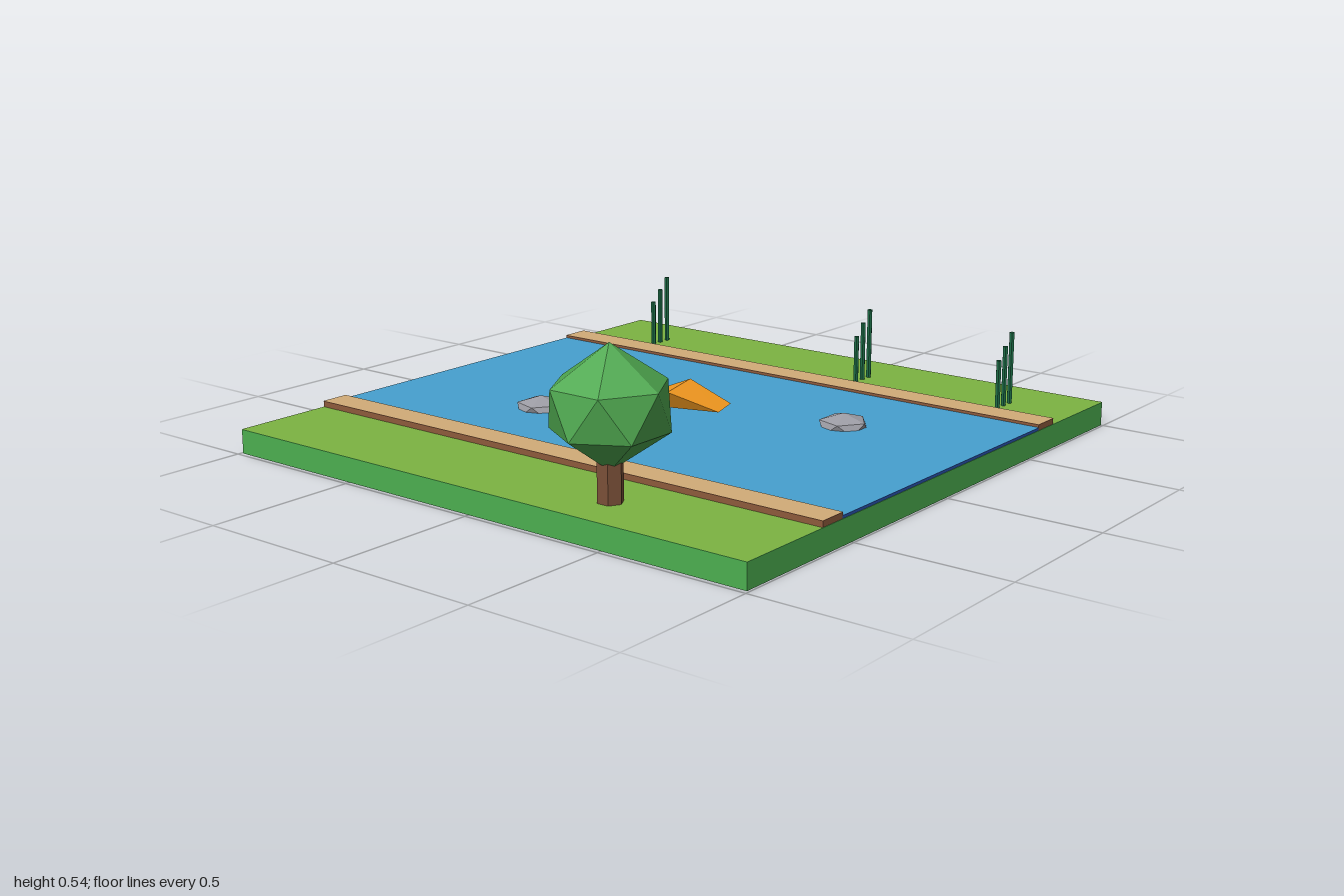
import * as THREE from 'three';
import { ConvexGeometry } from 'three/addons/geometries/ConvexGeometry.js';

const material = (color) => new THREE.MeshStandardMaterial({ color, flatShading: true });
const COLORS = {
  soil: material(0x4caf50), grass: material(0x7cb342),
  bank: material(0x8d5a3c), sand: material(0xd2ac78),
  waterSide: material(0x2a55b0), water: material(0x46a0d0),
  trunk: material(0x7a5038), leaf: material(0x4fa850),
  rock: material(0x9c9ca4), tent: material(0xf59a20), reed: material(0x1c6b45),
};

// Two staggered rings of points between a top and a bottom tip.
function facetedBall(sides, radius, ringY, tipY, turn) {
  const points = [new THREE.Vector3(0, tipY, 0), new THREE.Vector3(0, -tipY, 0)];
  for (let i = 0; i < sides; i++) {
    for (const level of [1, -1]) {
      const a = turn + ((i + (level > 0 ? 0 : 0.5)) / sides) * Math.PI * 2;
      points.push(new THREE.Vector3(Math.cos(a) * radius, level * ringY, Math.sin(a) * radius));
    }
  }
  return new ConvexGeometry(points);
}

export function createModel() {
  const model = new THREE.Group();
  const depth = 1.985;
  const midX = 0.0075;

  function add(name, geometry, mat, x, y, z, parent = model) {
    const mesh = new THREE.Mesh(geometry, mat);
    mesh.name = name;
    mesh.position.set(x, y, z);
    parent.add(mesh);
    return mesh;
  }

  // A full-depth slab with a differently coloured upper surface.
  function slab(name, x, width, y0, y1, sideMat, topMat) {
    const group = new THREE.Group();
    group.name = name;
    const body = y1 - y0 - 0.001;
    add(name + 'Body', new THREE.BoxGeometry(width, body, depth), sideMat, x, y0 + body / 2, 0, group);
    const top = new THREE.PlaneGeometry(width, depth).rotateX(-Math.PI / 2);
    add(name + 'Surface', top, topMat, x, y1, 0, group);
    model.add(group);
  }

  // Ground, river and its two raised banks
  slab('ground', midX, 1.985, 0, 0.08, COLORS.soil, COLORS.grass);
  slab('river', midX, 1.11, 0.08, 0.09, COLORS.waterSide, COLORS.water);
  slab('leftBank', midX + 0.602, 0.096, 0.08, 0.1, COLORS.bank, COLORS.sand);
  slab('rightBank', midX - 0.602, 0.096, 0.08, 0.1, COLORS.bank, COLORS.sand);

  // Tree
  const tree = new THREE.Group();
  tree.name = 'tree';
  tree.position.set(-0.826, 0, 0.4);
  model.add(tree);
  add('trunk', new THREE.CylinderGeometry(0.04, 0.04, 0.2, 6), COLORS.trunk, 0, 0.1, 0, tree);
  add('crown', facetedBall(6, 0.174, 0.066, 0.185, Math.PI / 6), COLORS.leaf, 0, 0.355, 0, tree);

  // Half-sunken rocks
  for (const [x, z] of [[-0.233, -0.4], [0.202, 0.495]]) {
    add('rock', facetedBall(5, 0.078, 0.018, 0.041, 0.3), COLORS.rock, x, 0.09, z);
  }

  // Ridged orange float: a slanted base with a longer ridge above it
  const floatPoints = [
    [-0.06, 0.105, -0.18], [0.055, 0.105, -0.21], [0.147, 0.105, 0.09], [0.035, 0.105, 0.125],
    [-0.047, 0.165, -0.02], [0.137, 0.165, -0.07],
  ].map((p) => new THREE.Vector3(...p));
  add('float', new ConvexGeometry(floatPoints), COLORS.tent, 0, 0, 0);

  // Clumps of reeds rising towards the outer edge
  for (const z of [-0.7, 0.2, 0.755]) {
    const clump = new THREE.Group();
    clump.name = 'reedClump';
    clump.position.set(0.76, 0.08, z);
    model.add(clump);
    for (let i = -1; i <= 1; i++) {
      const height = 0.2 + i * 0.04;
      add('reed', new THREE.CylinderGeometry(0.009, 0.009, height, 6), COLORS.reed, i * 0.04, height / 2, 0, clump);
    }
  }

  return model;
}
